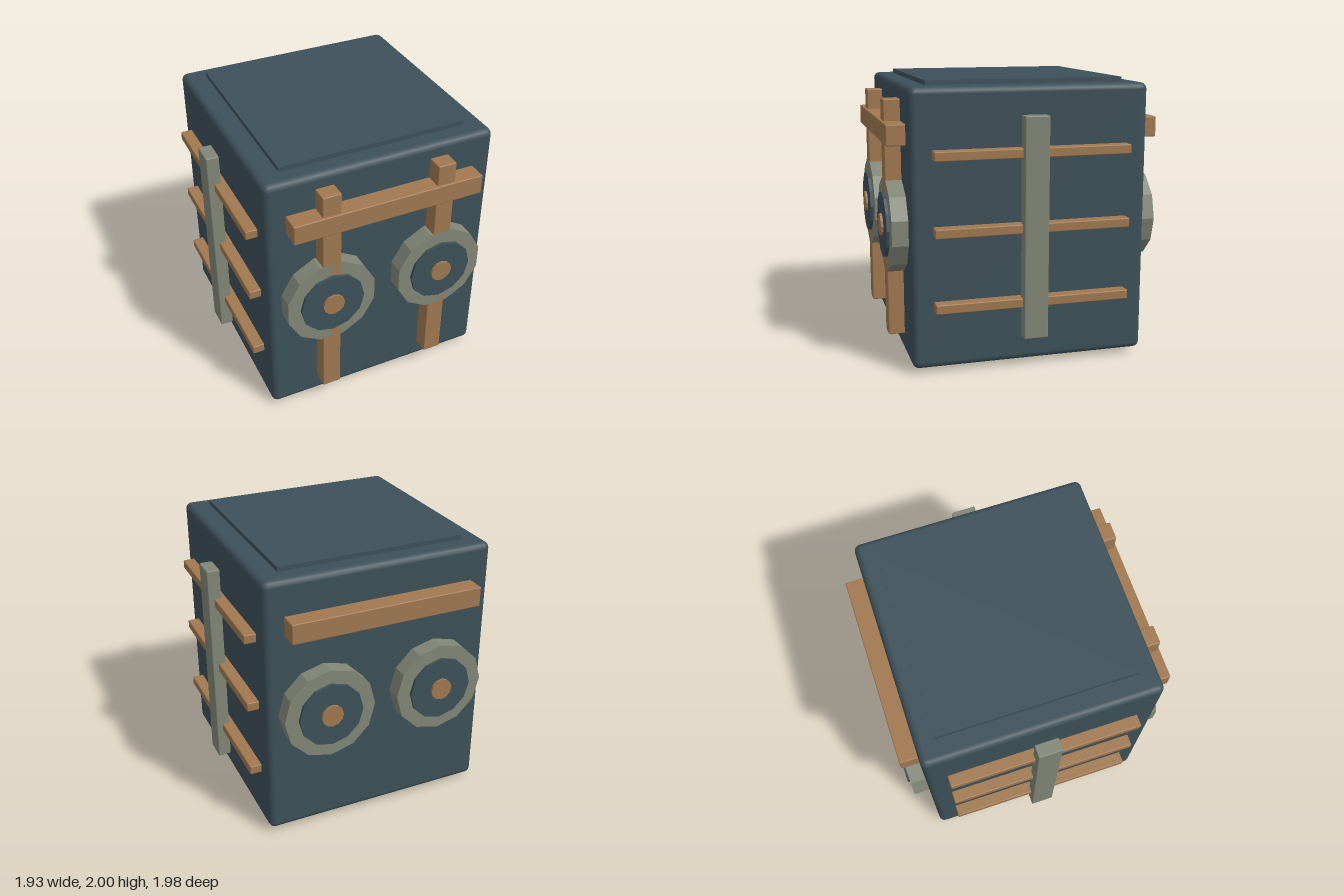
import * as THREE from 'three';
import { RoundedBoxGeometry } from 'three/addons/geometries/RoundedBoxGeometry.js';

const material = (name, color) => {
  const m = new THREE.MeshStandardMaterial({ color });
  m.name = name;
  return m;
};

export function createModel() {
  const slate = material('slate blue', 0x3d5059);
  const wood = material('warm wood', 0xa07850);
  const stone = material('grey stone', 0x818677);
  const group = new THREE.Group();

  const add = (parent, name, geometry, mat, x, y, z) => {
    const mesh = new THREE.Mesh(geometry, mat);
    mesh.name = name;
    mesh.position.set(x, y, z);
    parent.add(mesh);
    return mesh;
  };

  // Box with slightly softened edges
  const bar = (parent, name, mat, size, x, y, z, radius = 0.008) =>
    add(parent, name, new RoundedBoxGeometry(...size, 2, radius), mat, x, y, z);

  // Faceted disc facing +z, spanning z0 to z1
  const disc = (parent, name, mat, radius, z0, z1, turn = 0) => {
    const g = new THREE.CylinderGeometry(radius, radius, z1 - z0, 12, 1, false, turn)
      .rotateX(Math.PI / 2).toNonIndexed();
    g.computeVertexNormals();
    return add(parent, name, g, mat, 0, 0, (z0 + z1) / 2);
  };

  // Main block with thin raised panels on top and bottom
  bar(group, 'body', slate, [1.675, 1.93, 1.675], 0, 1.003, 0, 0.045);
  add(group, 'topPanel', new THREE.BoxGeometry(1.36, 0.06, 1.4), slate, 0, 1.97, 0);
  add(group, 'bottomPanel', new THREE.BoxGeometry(1.36, 0.06, 1.4), slate, 0, 0.03, 0);

  // Front and back: crossbar and two round bosses each
  for (const front of [true, false]) {
    const face = new THREE.Group();
    face.name = front ? 'frontFace' : 'backFace';
    face.rotation.y = front ? 0 : Math.PI;
    group.add(face);
    bar(face, 'crossbar', wood, [1.39, 0.145, 0.14], 0, 1.643, 0.9);

    for (const side of [-1, 1]) {
      if (front) bar(face, 'uprightStrap', wood, [0.135, 1.68, 0.12], side * 0.42, 1.025, 0.892);
      const boss = new THREE.Group();
      boss.name = 'roundBoss';
      boss.position.set(side * 0.42, 0.982, 0);
      face.add(boss);
      disc(boss, 'bossRim', stone, 0.335, 0.82, 0.952, front ? Math.PI / 12 : 0);
      disc(boss, 'bossInset', slate, 0.235, 0.9, 0.973);
      disc(boss, 'bossHub', wood, 0.08, 0.95, 0.99);
    }
  }

  // Left and right: a tall post over three rungs
  for (const side of [-1, 1]) {
    const rack = new THREE.Group();
    rack.name = side > 0 ? 'leftRack' : 'rightRack';
    group.add(rack);
    bar(rack, 'post', stone, [0.095, 1.54, 0.172], side * 0.919, 1.005, 0);
    for (const y of [0.483, 1.005, 1.523]) {
      bar(rack, 'rung', wood, [0.095, 0.066, 1.38], side * 0.874, y, 0);
    }
  }
  return group;
}
